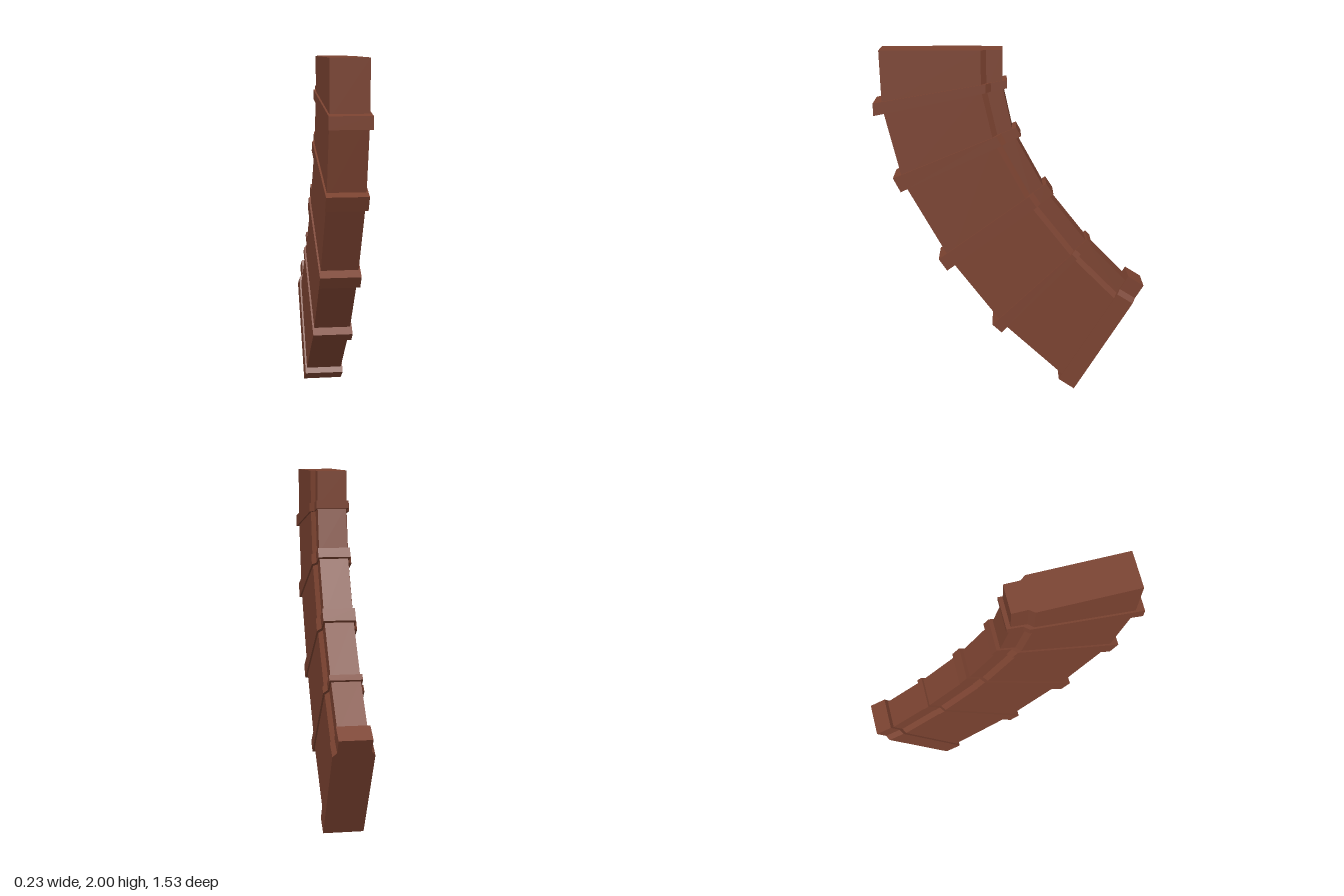
import * as THREE from 'three';

const material = new THREE.MeshStandardMaterial({ color: 0x7a4230, flatShading: true });

// Slab outline running from a front point to a back point [z, y], narrower behind a bevelled shoulder
function outline([fz, fy, bz, by], wide, narrow) {
  const length = Math.hypot(bz - fz, by - fy);
  const half = [[0, wide], [length - 0.12, wide], [length - 0.09, narrow], [length, narrow]];
  const mirrored = half.map(([t, x]) => [t, -x]).reverse();
  return [...half, ...mirrored].map(([t, x]) => {
    const k = t / length;
    return [x, fy + (by - fy) * k, fz + (bz - fz) * k];
  });
}

// Joins the outlines from top to bottom and caps both ends
function loft(name, sections, wide, narrow) {
  const rings = sections.map((s) => outline(s, wide, narrow));
  const positions = [];
  const quad = (a, b, c, d) => positions.push(...a, ...b, ...c, ...a, ...c, ...d);
  for (let r = 0; r < rings.length - 1; r++) {
    const top = rings[r], low = rings[r + 1];
    for (let i = 0; i < 8; i++) {
      const j = (i + 1) % 8;
      quad(low[i], low[j], top[j], top[i]);
    }
  }
  const first = rings[0], last = rings[rings.length - 1];
  for (let i = 0; i < 3; i++) {
    quad(first[i], first[i + 1], first[6 - i], first[7 - i]);
    quad(last[7 - i], last[6 - i], last[i + 1], last[i]);
  }
  const geometry = new THREE.BufferGeometry();
  geometry.setAttribute('position', new THREE.Float32BufferAttribute(positions, 3));
  geometry.computeVertexNormals();
  const mesh = new THREE.Mesh(geometry, material);
  mesh.name = name;
  return mesh;
}

export function createModel() {
  const model = new THREE.Group();
  model.name = 'curvedCase';

  // Curved body: front z, front y, back z, back y of each section
  model.add(loft('body', [
    [0.727, 2.0, 0.05, 2.0],
    [0.717, 1.69, 0.05, 1.80],
    [0.61, 1.26, -0.008, 1.54],
    [0.35, 0.80, -0.195, 1.20],
    [0.05, 0.41, -0.44, 0.89],
    [-0.31, 0.08, -0.675, 0.65],
  ], 0.105, 0.082));

  // Raised bands around the body: upper and lower edge
  const bands = [
    [[0.767, 1.71, 0.026, 1.835], [0.765, 1.64, 0.026, 1.79]],
    [[0.667, 1.285, -0.026, 1.57], [0.625, 1.205, -0.053, 1.52]],
    [[0.418, 0.807, -0.196, 1.247], [0.37, 0.739, -0.238, 1.184]],
    [[0.111, 0.405, -0.434, 0.918], [0.058, 0.357, -0.46, 0.892]],
  ];
  bands.forEach((edges, i) => model.add(loft(`band${i + 1}`, edges, 0.115, 0.092)));

  // Closing base
  model.add(loft('basePlate', [
    [-0.28, 0.06, -0.677, 0.692],
    [-0.37, 0.0, -0.767, 0.636],
  ], 0.115, 0.092));

  return model;
}
